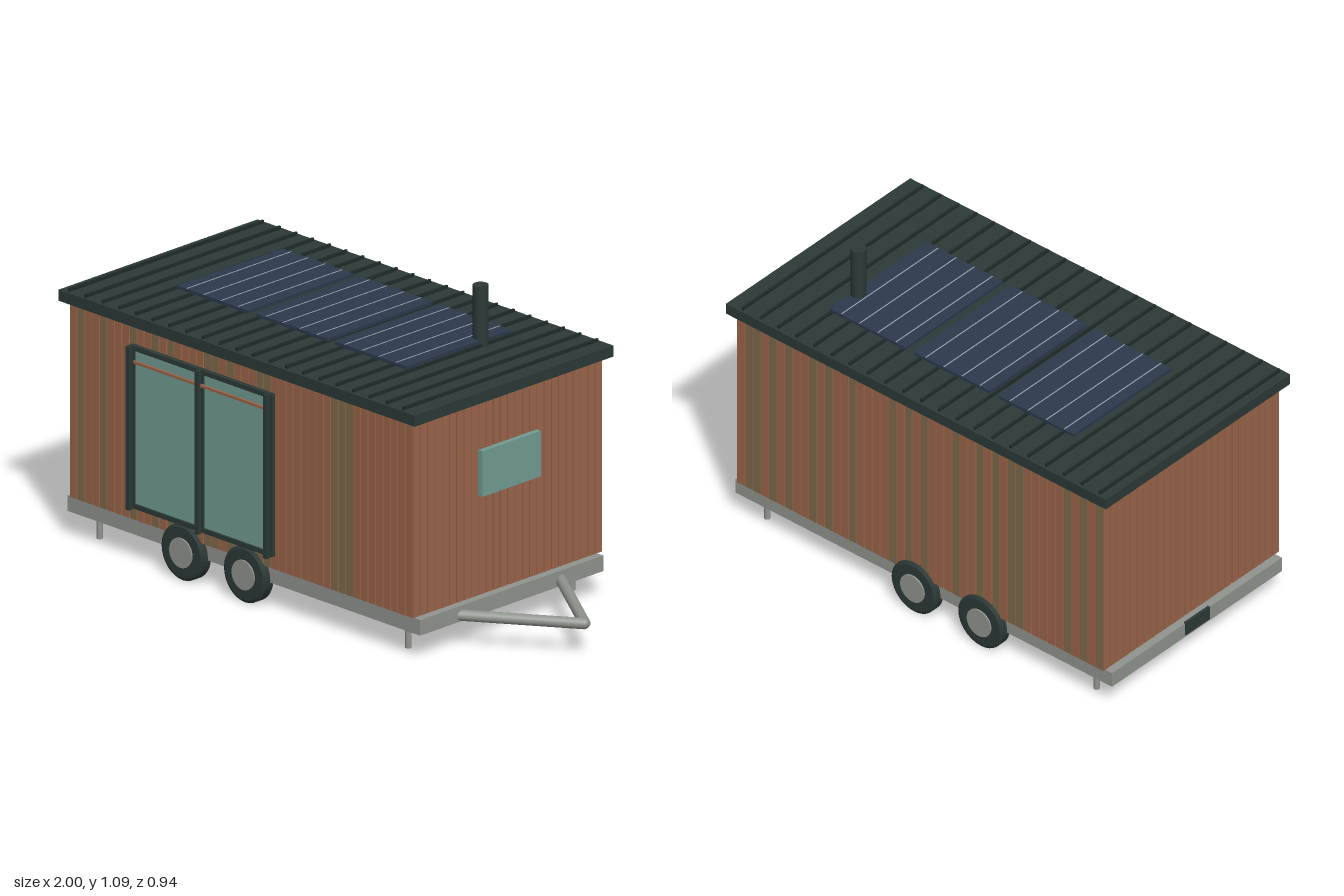
import * as THREE from 'three';

const mat = (name, color) => {
  const m = new THREE.MeshStandardMaterial({ color });
  m.name = name;
  return m;
};

export function createModel() {
  const cedar = mat('cedar', 0x9b654a);
  const weathered = mat('weatheredWood', 0x80694a);
  const gapWood = mat('darkWoodGap', 0x55382a);
  const charcoal = mat('charcoalMetal', 0x2c3a38);
  const rib = mat('darkRib', 0x1f2b2a);
  const glass = mat('paleGlass', 0x729c93);
  const steel = mat('steel', 0x90948e);
  const solar = mat('solarBlue', 0x2d394c);
  const line = mat('cellLine', 0x98a2ac);

  const model = new THREE.Group();
  model.name = 'tinyHouseTrailer';
  const group = (name) => {
    const g = new THREE.Group();
    g.name = name;
    model.add(g);
    return g;
  };
  const add = (parent, name, geo, material, x = 0, y = 0, z = 0) => {
    const m = new THREE.Mesh(geo, material);
    m.name = name;
    m.position.set(x, y, z);
    parent.add(m);
    return m;
  };
  // Box given by its lower and upper limits on each axis
  const box = (parent, name, material, x0, x1, y0, y1, z0, z1) =>
    add(parent, name, new THREE.BoxGeometry(x1 - x0, y1 - y0, z1 - z0), material,
      (x0 + x1) / 2, (y0 + y1) / 2, (z0 + z1) / 2);
  // Round bar between two points
  const bar = (parent, name, material, a, b, r) => {
    const m = add(parent, name, new THREE.CylinderGeometry(r, r, a.distanceTo(b), 16), material);
    m.position.copy(a).add(b).multiplyScalar(0.5);
    m.quaternion.setFromUnitVectors(new THREE.Vector3(0, 1, 0), b.clone().sub(a).normalize());
    return m;
  };

  const zc = -0.005; // middle of the cabin in z

  // Chassis, legs and rear plate
  const chassis = group('chassis');
  box(chassis, 'deck', steel, -0.995, 0.645, 0.09, 0.145, -0.43, 0.42);
  box(chassis, 'rearPlate', charcoal, -1, -0.99, 0.1, 0.149, -0.065, 0.055);
  for (const x of [-0.89, 0.545]) {
    for (const s of [-1, 1]) {
      add(chassis, 'leg', new THREE.CylinderGeometry(0.011, 0.011, 0.085, 12), steel, x, 0.0525, zc + s * 0.38);
    }
  }

  // Tow hitch
  const tip = new THREE.Vector3(0.985, 0.11, zc);
  for (const s of [-1, 1]) {
    bar(chassis, 'towArm', steel, new THREE.Vector3(0.63, 0.11, zc + s * 0.24), tip, 0.019);
  }
  add(chassis, 'towCoupling', new THREE.SphereGeometry(0.019, 16, 12), steel, 0.981, 0.11, zc);

  // Wheels
  const wheels = group('wheels');
  const tyreProfile = [[0, -0.023], [0.088, -0.023], [0.098, -0.017], [0.098, 0.017], [0.088, 0.023], [0, 0.023]]
    .map(([r, h]) => new THREE.Vector2(r, h));
  for (const x of [-0.44, -0.15]) {
    for (const s of [-1, 1]) {
      const wheel = new THREE.Group();
      wheel.name = 'wheel';
      wheel.position.set(x, 0.098, zc + s * 0.427);
      wheel.rotation.x = s * Math.PI / 2;
      wheels.add(wheel);
      // Separate strips keep the tyre edges sharp
      for (let i = 0; i < tyreProfile.length - 1; i++) {
        add(wheel, 'tyre', new THREE.LatheGeometry(tyreProfile.slice(i, i + 2), 32), charcoal);
      }
      add(wheel, 'hub', new THREE.CylinderGeometry(0.052, 0.052, 0.057, 24), steel);
    }
  }

  // Cabin core, seen between the planks
  const cabin = group('cabin');
  box(cabin, 'core', gapWood, -0.962, 0.618, 0.15, 0.836, -0.437, 0.427);

  // Vertical cladding on all four walls
  let seed = 11;
  const rand = () => (seed = (seed * 16807) % 2147483647) / 2147483647;
  const clad = (name, length, count, x, z, turn, mixed) => {
    const wall = new THREE.Group();
    wall.name = name;
    wall.position.set(x, 0.49, z);
    wall.rotation.y = turn;
    cabin.add(wall);
    const pitch = length / count;
    for (let i = 0; i < count; i++) {
      const w = pitch * (0.8 + 0.14 * rand());
      const material = mixed && rand() < 0.33 ? weathered : cedar;
      add(wall, 'plank', new THREE.BoxGeometry(w, 0.68, 0.01), material, (i + 0.5) * pitch - length / 2, 0, -0.005);
    }
  };
  clad('frontCladding', 1.595, 46, -0.172, 0.435, 0, true);
  clad('backCladding', 1.595, 46, -0.172, -0.445, Math.PI, true);
  clad('leftCladding', 0.88, 26, 0.626, zc, Math.PI / 2, false);
  clad('rightCladding', 0.88, 26, -0.97, zc, -Math.PI / 2, false);

  // End window
  box(cabin, 'endWindow', glass, 0.62, 0.645, 0.5, 0.66, -0.14, 0.13);

  // Sliding glass door
  const door = group('slidingDoor');
  box(door, 'doorGlass', glass, -0.66, -0.025, 0.21, 0.755, 0.425, 0.444);
  for (const x of [-0.665, -0.345, -0.025]) {
    box(door, 'jamb', charcoal, x - 0.011, x + 0.011, 0.2, 0.765, 0.43, 0.45);
    box(door, 'outerPost', charcoal, x - 0.008, x + 0.008, 0.195, 0.768, 0.456, 0.472);
  }
  box(door, 'topRail', charcoal, -0.675, -0.014, 0.752, 0.768, 0.43, 0.452);
  box(door, 'bottomRail', charcoal, -0.675, -0.014, 0.197, 0.213, 0.43, 0.452);
  box(door, 'woodRail', cedar, -0.65, -0.04, 0.711, 0.72, 0.452, 0.461);

  // Roof with standing seams
  const roof = group('roof');
  box(roof, 'roofSlab', charcoal, -1, 0.655, 0.836, 0.875, -0.467, 0.456);
  for (let i = 0; i < 21; i++) {
    const x = -0.963 + i * 0.0777;
    box(roof, 'seam', rib, x - 0.004, x + 0.004, 0.874, 0.886, -0.457, 0.446);
  }

  // Solar panels
  for (const x of [-0.705, -0.338, 0.029]) {
    box(roof, 'solarPanel', solar, x, x + 0.33, 0.889, 0.9, -0.288, 0.2);
    for (let i = 0; i < 4; i++) {
      const lx = x + 0.043 + i * 0.079;
      box(roof, 'cellLine', line, lx - 0.002, lx + 0.002, 0.899, 0.901, -0.286, 0.198);
    }
  }

  // Flue pipe
  add(roof, 'fluePipe', new THREE.CylinderGeometry(0.026, 0.026, 0.255, 24), charcoal, 0.34, 0.9585, -0.165);

  return model;
}
